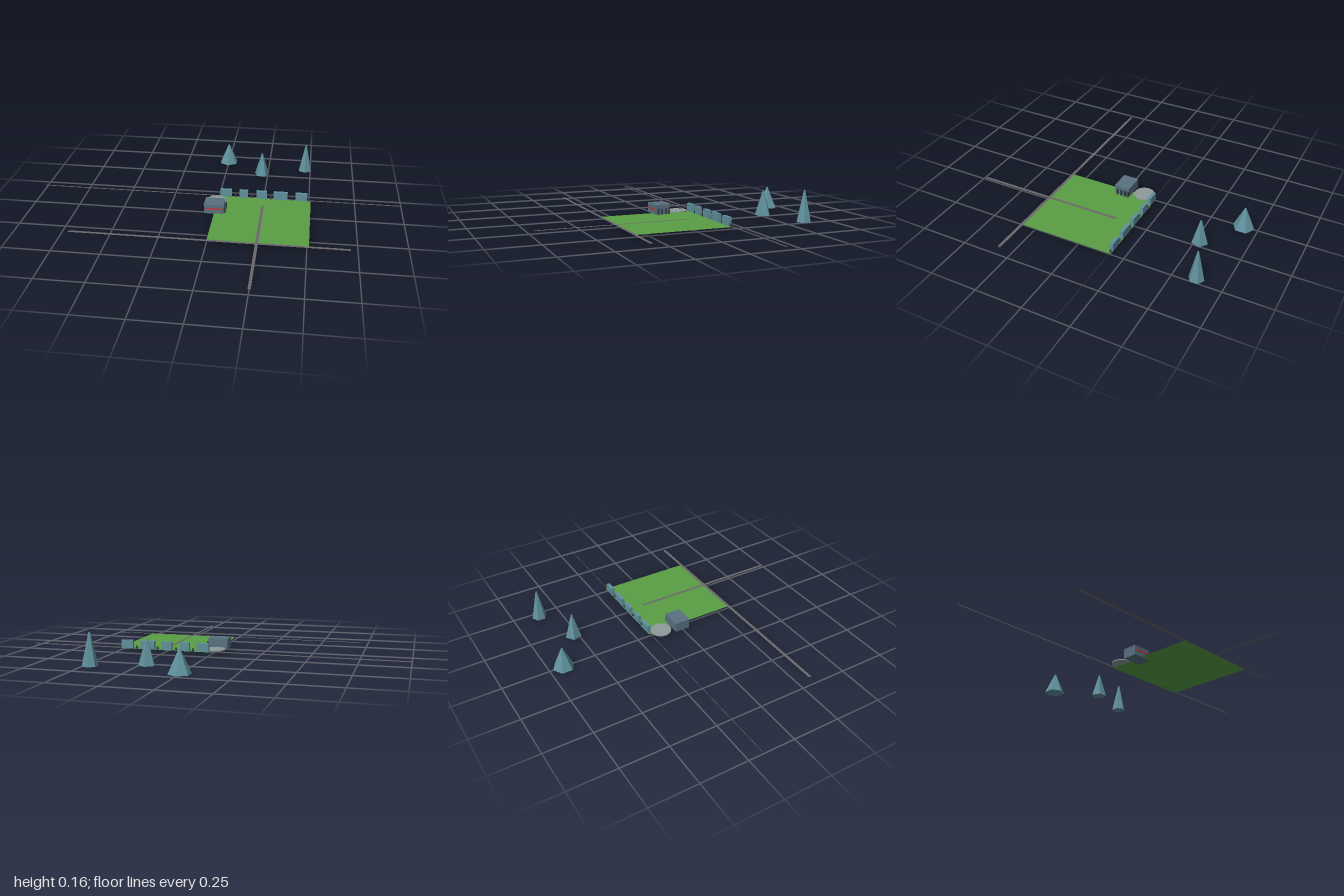
import * as THREE from 'three';

const paint = (color, flatShading = false, side = THREE.FrontSide) =>
  new THREE.MeshStandardMaterial({ color, flatShading, side });

export function createModel() {
  const root = new THREE.Group();
  const grass = paint(0x5a9f45, false, THREE.DoubleSide);
  const asphalt = paint(0x6a686a, false, THREE.DoubleSide);
  const teal = paint(0x5f909c, true);
  const slate = paint(0x5a7080, true);
  const dark = paint(0x34424c, true);
  const red = paint(0xc8322c);
  const stone = paint(0x8f9a9a);

  const add = (name, geometry, material, x, y, z, parent = root) => {
    const mesh = new THREE.Mesh(geometry, material);
    mesh.name = name;
    mesh.position.set(x, y, z);
    parent.add(mesh);
    return mesh;
  };
  // box given by its extents
  const box = (name, material, x0, x1, y0, y1, z0, z1, parent) =>
    add(name, new THREE.BoxGeometry(x1 - x0, y1 - y0, z1 - z0), material,
      (x0 + x1) / 2, (y0 + y1) / 2, (z0 + z1) / 2, parent);
  // flat sheet lying on the ground
  const sheet = (name, material, x0, x1, z0, z1, y) =>
    add(name, new THREE.PlaneGeometry(x1 - x0, z1 - z0).rotateX(-Math.PI / 2), material,
      (x0 + x1) / 2, y, (z0 + z1) / 2);

  // lawn and the two crossing roads
  sheet('lawn', grass, 0, 0.51, -0.185, 0.325, 0.012);
  sheet('crossRoad', asphalt, -0.713, 0.713, 0.314, 0.33, 0.014);
  sheet('entryRoad', asphalt, 0.244, 0.259, -0.08, 0.73, 0.015);

  // long upright strip behind the lawn
  add('backStrip', new THREE.PlaneGeometry(2, 0.005), asphalt, 0, 0.015, -0.178);

  // house with a red band on the front and posts on its left side
  const house = new THREE.Group();
  house.name = 'house';
  root.add(house);
  box('walls', slate, -0.053, 0.05, 0.01, 0.058, -0.05, 0.031, house);
  box('roof', slate, -0.055, 0.053, 0.058, 0.064, -0.052, 0.033, house);
  box('frontBand', red, -0.045, 0.045, 0.035, 0.042, 0.031, 0.034, house);
  for (const z of [0.017, -0.005, -0.027, -0.044])
    box('sidePost', dark, 0.05, 0.06, 0.01, 0.044, z - 0.004, z + 0.004, house);

  // round pad beside the house
  add('roundPad', new THREE.CylinderGeometry(0.055, 0.055, 0.006, 32), stone, -0.004, 0.017, -0.114);

  // row of blocks along the back edge, with low posts between them
  for (const [x0, x1] of [[0.01, 0.073], [0.115, 0.163], [0.21, 0.268], [0.305, 0.382], [0.425, 0.49]])
    box('hedgeBlock', teal, x0, x1, 0.014, 0.057, -0.187, -0.169);
  for (const x of [0.095, 0.188, 0.29, 0.405, 0.498])
    box('lowPost', dark, x - 0.004, x + 0.004, 0.012, 0.028, -0.182, -0.174);

  // low-poly trees: x, z, radius, height, sides, turn
  for (const [x, z, r, h, sides, turn] of [
    [0, -0.675, 0.056, 0.115, 6, 0],
    [0.214, -0.524, 0.043, 0.132, 5, Math.PI],
    [0.468, -0.613, 0.04, 0.162, 6, 0],
  ]) {
    add('tree', new THREE.CylinderGeometry(0.004, r, h, sides), teal, x, h / 2, z).rotation.y = turn;
  }
  return root;
}
